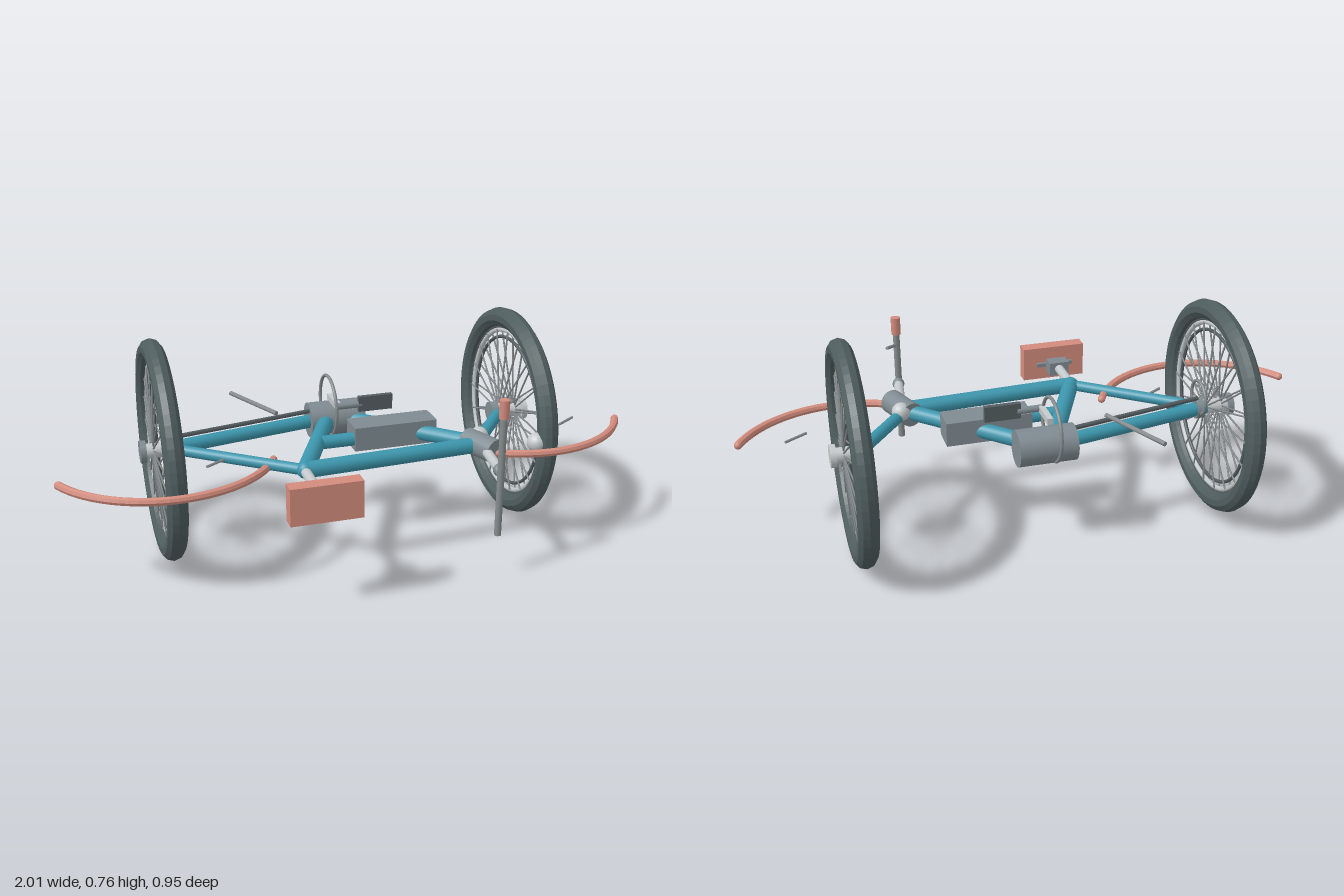
import * as THREE from 'three';

const mat = (name, color) => {
  const m = new THREE.MeshStandardMaterial({ color });
  m.name = name;
  return m;
};

export function createModel() {
  const teal = mat('tealPaint', 0x3c96ad);
  const red = mat('softRed', 0xd38c7d);
  const rubber = mat('tyreRubber', 0x4f5d5f);
  const grey = mat('steelGrey', 0x7f8b91);
  const light = mat('lightMetal', 0xc4c9cb);
  const dark = mat('darkMetal', 0x545d61);
  const rod = mat('rodMetal', 0x868c8e);

  const model = new THREE.Group();
  const Y = 0.383;
  const V = (x, y, z) => new THREE.Vector3(x, y, z);
  const add = (parent, name, geo, material, x = 0, y = 0, z = 0) => {
    const m = new THREE.Mesh(geo, material);
    m.name = name;
    m.position.set(x, y, z);
    parent.add(m);
    return m;
  };
  // Faceted copy of a geometry
  const facet = (geo) => {
    const g = geo.toNonIndexed();
    g.computeVertexNormals();
    return g;
  };
  // Cylinder between two points
  const bar = (parent, name, a, b, r, material, sides = 14) => {
    const d = b.clone().sub(a);
    const m = add(parent, name, new THREE.CylinderGeometry(r, r, d.length(), sides), material);
    m.position.copy(a).add(b).multiplyScalar(0.5);
    m.quaternion.setFromUnitVectors(V(0, 1, 0), d.normalize());
    return m;
  };
  const box = (name, w, h, d, material, x, y, z) =>
    add(model, name, new THREE.BoxGeometry(w, h, d), material, x, y, z);
  // Ring whose axle runs along x
  const ring = (parent, name, R, r, material, x = 0, y = 0, z = 0) => {
    const m = add(parent, name, new THREE.TorusGeometry(R, r, 10, 56), material, x, y, z);
    m.rotation.y = Math.PI / 2;
    return m;
  };

  // Wheels, each with a curved guard; the front guard stops at the head tube
  for (const [name, x, sweep, outerCap] of [['rear', -0.64, 2.2, grey], ['front', 0.64, 1.6, light]]) {
    const wheel = new THREE.Group();
    wheel.name = name + 'Wheel';
    wheel.position.set(x, Y, -0.097);
    model.add(wheel);
    const tyre = ring(wheel, 'tyre', 0.345, 0.035, rubber);
    tyre.geometry = facet(new THREE.TorusGeometry(0.345, 0.035, 10, 64));
    ring(wheel, 'tyreBead', 0.311, 0.008, dark);
    ring(wheel, 'rim', 0.299, 0.009, light);
    ring(wheel, 'innerRim', 0.273, 0.006, dark);
    for (let i = 0; i < 20; i++) {
      const a = (i / 20) * Math.PI * 2, c = Math.cos(a), s = Math.sin(a);
      for (const side of [-1, 1])
        bar(wheel, 'spoke', V(side * 0.026, c * 0.03, s * 0.03), V(side * 0.01, c * 0.3, s * 0.3), 0.0032, rod, 6);
    }
    bar(wheel, 'hub', V(-0.055, 0, 0), V(0.055, 0, 0), 0.026, light, 20);
    const out = Math.sign(x);
    bar(wheel, 'hubOuterCap', V(out * 0.05, 0, 0), V(out * 0.07, 0, 0), 0.039, outerCap, 24);
    bar(wheel, 'hubInnerCap', V(-out * 0.04, 0, 0), V(-out * 0.068, 0, 0), 0.037, grey, 24);

    const start = (Math.PI - 2.2) / 2;
    const arc = new THREE.TorusGeometry(0.395, 0.014, 8, 28, sweep).rotateZ(start).rotateX(Math.PI / 2);
    add(model, name + 'Guard', facet(arc), red, x, 0.375, -0.1);
    for (const a of [start, start + sweep])
      add(model, 'guardTip', new THREE.SphereGeometry(0.014, 10, 6), red,
        x + 0.395 * Math.cos(a), 0.375, -0.1 + 0.395 * Math.sin(a));
    bar(model, 'guardStay', V(x + 0.125, Y, 0.09), V(x + 0.2, Y, 0.042), 0.005, rod, 6);
  }

  // Frame tubes
  const rear = V(-0.61, Y, -0.1), seat = V(-0.212, Y, 0.21);
  bar(model, 'topTube', seat, V(0.4, Y, 0.178), 0.028, teal);
  bar(model, 'seatTube', seat, V(-0.02, Y, -0.2), 0.029, teal);
  bar(model, 'downTube', V(0.02, Y, -0.22), V(0.41, Y, 0.16), 0.027, teal);
  bar(model, 'chainStay', rear, V(-0.02, Y, -0.215), 0.024, teal);
  bar(model, 'seatStay', rear, seat, 0.019, teal);
  bar(model, 'fork', V(0.44, Y, 0.13), V(0.61, Y, -0.09), 0.021, teal);
  bar(model, 'batteryMount', V(-0.11, Y, 0.003), V(0.03, Y, 0.003), 0.024, teal);
  add(model, 'frameJoint', new THREE.SphereGeometry(0.029, 14, 10), teal, seat.x, Y, seat.z);
  bar(model, 'chain', V(-0.58, 0.423, -0.102), V(-0.06, 0.423, -0.205), 0.008, dark, 6);

  // Motor, battery, crank
  bar(model, 'motor', V(-0.087, Y, -0.215), V(0.113, Y, -0.215), 0.063, grey, 28);
  box('battery', 0.3, 0.085, 0.1, grey, 0.165, 0.388, -0.02);
  ring(model, 'chainring', 0.108, 0.006, rod, -0.012, 0.435, -0.21);
  ring(model, 'sprocket', 0.06, 0.006, rod, -0.585, 0.425, -0.1);
  box('crankArm', 0.02, 0.022, 0.11, light, -0.005, 0.466, -0.16);
  bar(model, 'pedalAxle', V(-0.01, 0.466, -0.107), V(0.08, 0.466, -0.107), 0.012, grey, 10);
  box('pedal', 0.125, 0.055, 0.018, dark, 0.13, 0.468, -0.105);
  bar(model, 'kickstand', V(-0.328, 0.44, -0.42), V(-0.215, 0.44, -0.17), 0.008, rod, 8);

  // Saddle
  bar(model, 'seatPost', V(-0.215, Y, 0.21), V(-0.215, Y, 0.41), 0.017, light);
  box('seatClamp', 0.075, 0.05, 0.05, grey, -0.215, Y, 0.382);
  box('saddleRail', 0.14, 0.014, 0.012, grey, -0.212, Y, 0.411);
  bar(model, 'saddleNeck', V(-0.215, Y, 0.4), V(-0.215, Y, 0.43), 0.015, grey);
  box('saddle', 0.237, 0.126, 0.05, red, -0.213, 0.383, 0.45);

  // Steering
  bar(model, 'headTube', V(0.395, Y, 0.125), V(0.445, Y, 0.255), 0.043, grey, 20);
  add(model, 'headCap', new THREE.SphereGeometry(0.033, 16, 12), light, 0.432, 0.396, 0.135);
  bar(model, 'stem', V(0.415, Y, 0.24), V(0.393, Y, 0.41), 0.017, light);
  add(model, 'barClamp', new THREE.SphereGeometry(0.022, 14, 10), grey, 0.395, Y, 0.395);
  bar(model, 'handlebar', V(0.39, 0.157, 0.417), V(0.39, 0.6, 0.417), 0.012, rod);
  bar(model, 'grip', V(0.39, 0.573, 0.417), V(0.39, 0.636, 0.417), 0.017, red);
  bar(model, 'brakeLever', V(0.392, 0.53, 0.415), V(0.435, 0.544, 0.36), 0.006, rod, 8);

  // Lamps
  add(model, 'headlamp', new THREE.SphereGeometry(0.034, 20, 14), light, 0.605, 0.39, 0.234);
  box('tailLamp', 0.04, 0.018, 0.03, red, -0.625, 0.342, 0.003);
  bar(model, 'tailLampStay', V(-0.605, Y, -0.08), V(-0.605, 0.345, 0), 0.006, rod, 6);

  return model;
}
